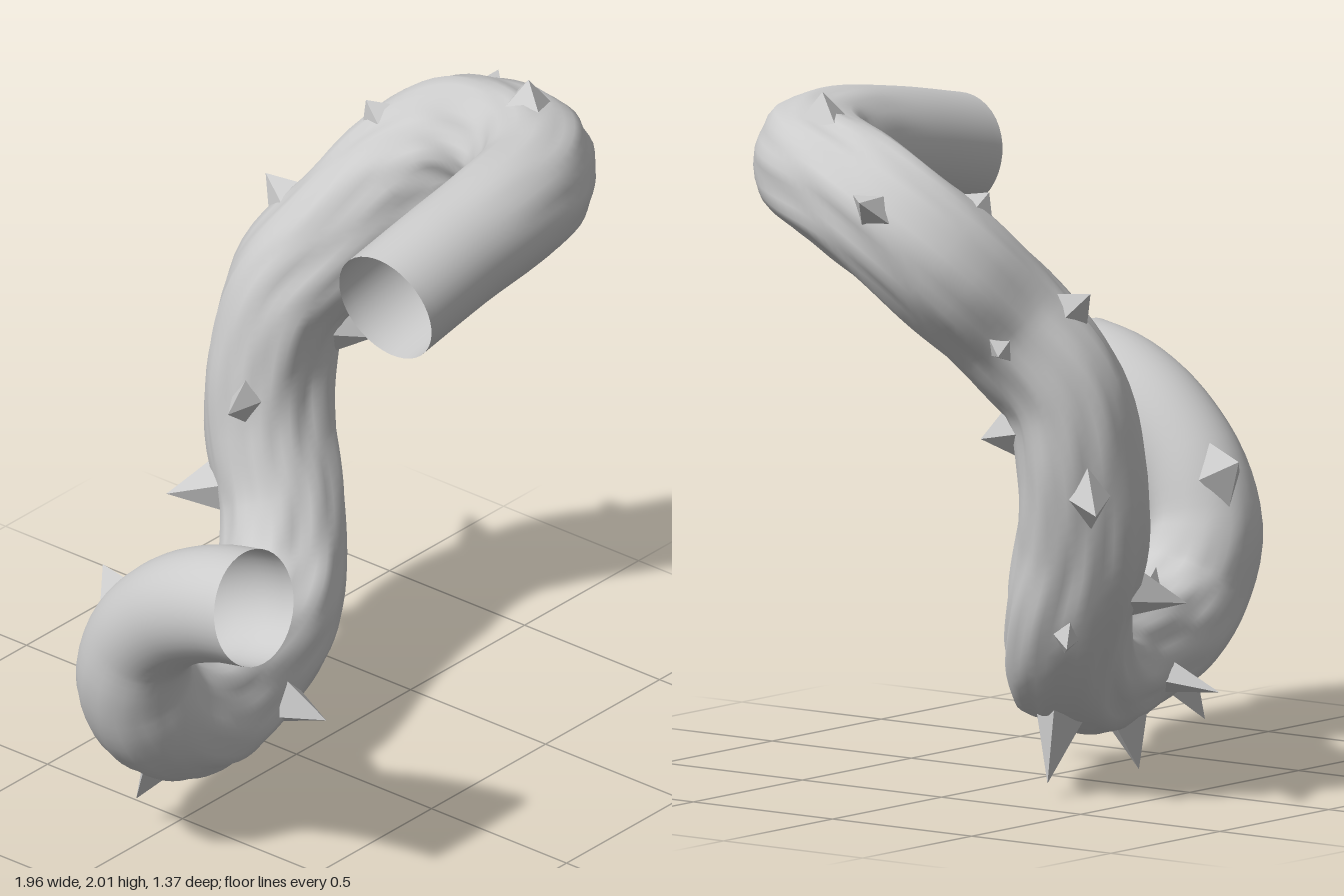
import * as THREE from 'three';
import { mergeVertices } from 'three/addons/utils/BufferGeometryUtils.js';

const v = (p) => new THREE.Vector3(...p);

// Centreline of the vine, from the low open end to the high one
const path = new THREE.CatmullRomCurve3([
  [-0.815, 1.005, 0.53], [-0.815, 0.975, 0.4], [-0.805, 0.89, 0.235], [-0.79, 0.755, 0.1],
  [-0.765, 0.6, 0.045], [-0.68, 0.45, 0.045], [-0.5, 0.35, 0.025], [-0.2, 0.318, -0.06],
  [0.06, 0.335, -0.155], [0.22, 0.405, -0.235], [0.325, 0.56, -0.32], [0.365, 0.76, -0.4],
  [0.395, 0.98, -0.425], [0.43, 1.2, -0.39], [0.52, 1.385, -0.27], [0.665, 1.565, -0.155],
  [0.72, 1.68, -0.01], [0.69, 1.755, 0.17], [0.61, 1.79, 0.35], [0.46, 1.80, 0.47],
  [0.28, 1.80, 0.51], [0.05, 1.77, 0.515], [-0.22, 1.72, 0.515],
].map(v), false, 'centripetal');

// Thorn tips with the half length of the base along the vine
const thornTips = [
  [-0.66, 0.84, -0.16, 0.1], [-0.62, 0.1, -0.07, 0.09], [-0.37, 0.57, -0.09, 0.09],
  [-0.33, 0.24, -0.35, 0.08], [-0.24, 0.01, -0.13, 0.11], [-0.13, 0.25, 0.22, 0.11],
  [-0.1, 0.56, -0.22, 0.08], [0.32, 0.05, -0.24, 0.11], [0.14, 0.58, -0.6, 0.09],
  [0.5, 0.48, -0.45, 0.08], [0.09, 0.95, -0.33, 0.08], [0.66, 0.9, -0.68, 0.1],
  [0.55, 1.06, -0.18, 0.1], [0.48, 1.5, -0.52, 0.09], [0.71, 1.34, -0.37, 0.08],
  [0.6, 1.78, -0.25, 0.09], [0.98, 1.78, -0.08, 0.1], [0.65, 2.0, 0.31, 0.12],
  [0.46, 1.63, 0.25, 0.08],
];

// Radius along the vine: slimmer and smooth at the cut ends, knotty between
function vineRadius(t, a) {
  const knot = THREE.MathUtils.smoothstep(t, 0.1, 0.25) * (1 - THREE.MathUtils.smoothstep(t, 0.78, 0.95));
  const knee = 0.014 * Math.exp(-(((t - 0.69) / 0.04) ** 2));
  const neck = 0.012 * Math.exp(-(((t - 0.1) / 0.05) ** 2));
  const bark = 0.005 * Math.sin(5 * a + 14 * t) + 0.004 * Math.sin(9 * a - 31 * t)
    + 0.005 * Math.sin(2 * a + 47 * t) + 0.003 * Math.sin(13 * a + 60 * t);
  return 0.169 + knee - neck + knot * (0.011 + bark);
}

function buildVine(material) {
  const along = 130, around = 40;
  const geo = new THREE.TubeGeometry(path, along, 1, around, false);
  const pos = geo.attributes.position, p = new THREE.Vector3();
  for (let i = 0; i <= along; i++) {
    const centre = path.getPointAt(i / along);
    for (let j = 0; j <= around; j++) {
      const k = i * (around + 1) + j;
      const angle = ((j % around) / around) * Math.PI * 2;
      p.fromBufferAttribute(pos, k).sub(centre).multiplyScalar(vineRadius(i / along, angle)).add(centre);
      pos.setXYZ(k, p.x, p.y, p.z);
    }
  }
  // Weld the lengthwise seam for smooth shading
  geo.deleteAttribute('uv');
  geo.deleteAttribute('normal');
  const welded = mergeVertices(geo, 1e-5);
  welded.computeVertexNormals();
  const mesh = new THREE.Mesh(welded, material);
  mesh.name = 'vineStem';
  return mesh;
}

// Four-sided thorn growing out of the closest point of the vine
function buildThorn([x, y, z, halfLength], samples, material) {
  const tip = new THREE.Vector3(x, y, z);
  let best = 0;
  samples.forEach((s, i) => {
    if (s.distanceToSquared(tip) < samples[best].distanceToSquared(tip)) best = i;
  });
  const up = tip.clone().sub(samples[best]).normalize();
  const side = new THREE.Vector3().crossVectors(path.getTangentAt(best / (samples.length - 1)), up).normalize();
  const lengthwise = new THREE.Vector3().crossVectors(up, side);
  const base = samples[best].clone().addScaledVector(up, 0.15);
  const height = Math.max(tip.distanceTo(base), 0.085);
  const geo = new THREE.ConeGeometry(1, height, 4, 1);
  geo.translate(0, height / 2, 0).scale(halfLength, 1, halfLength * 0.65);
  geo.applyMatrix4(new THREE.Matrix4().makeBasis(lengthwise, up, side).setPosition(base));
  const mesh = new THREE.Mesh(geo, material);
  mesh.name = 'thorn';
  return mesh;
}

export function createModel() {
  const group = new THREE.Group();
  group.name = 'thornyVine';
  const bark = new THREE.MeshStandardMaterial({ color: 0xcccccc, side: THREE.DoubleSide });
  const thorn = new THREE.MeshStandardMaterial({ color: 0xcccccc, flatShading: true });
  group.add(buildVine(bark));

  const thorns = new THREE.Group();
  thorns.name = 'thorns';
  const samples = path.getSpacedPoints(400);
  thornTips.forEach((t) => thorns.add(buildThorn(t, samples, thorn)));
  group.add(thorns);
  return group;
}
